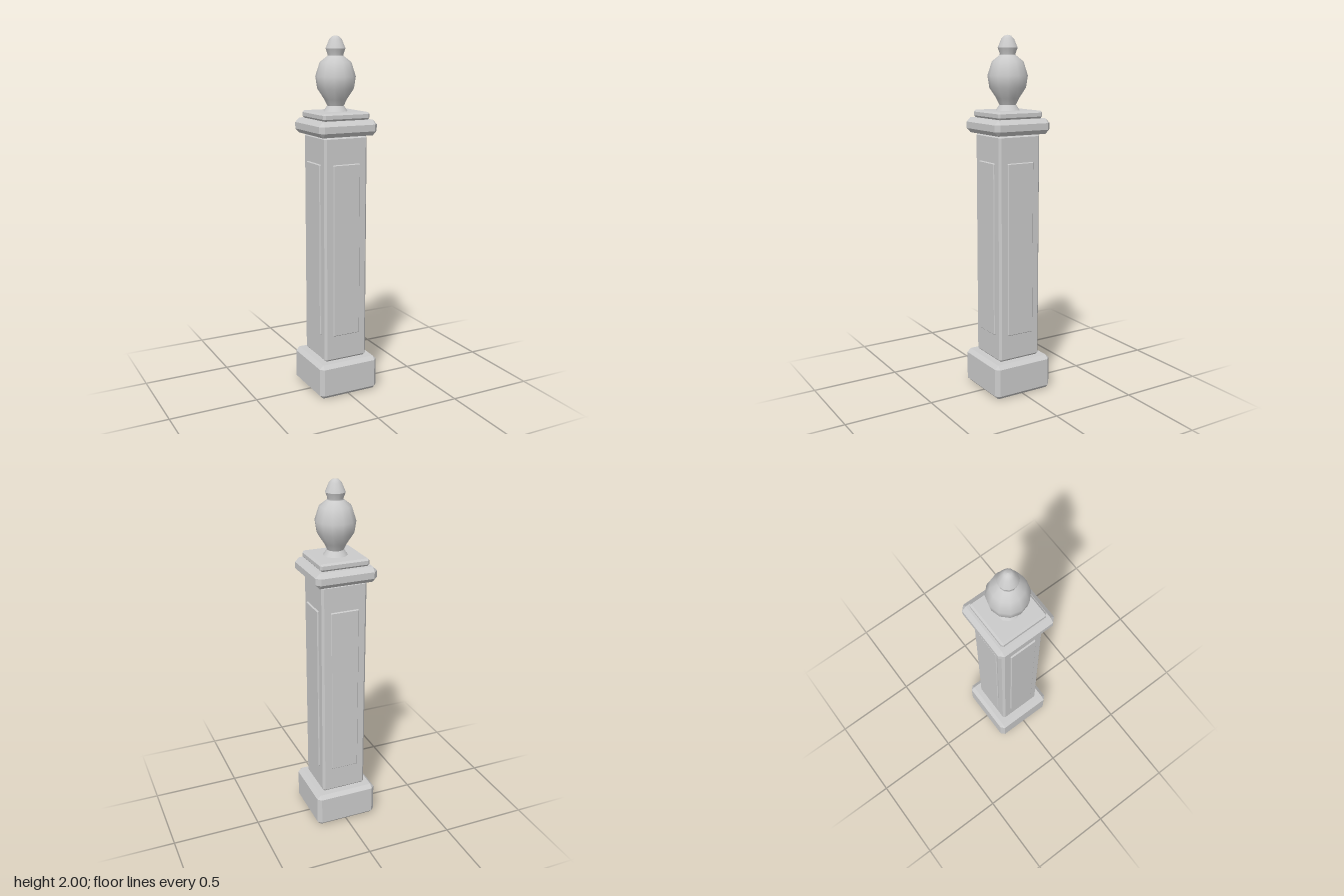
import * as THREE from 'three';
import { ConvexGeometry } from 'three/addons/geometries/ConvexGeometry.js';

const material = new THREE.MeshStandardMaterial({ color: 0xcccccc });
const lathed = new THREE.MeshStandardMaterial({ color: 0xcccccc, side: THREE.DoubleSide });

// Box with every edge and corner chamfered by b
function chamferedBox(name, hx, hz, y0, y1, b) {
  const hy = (y1 - y0) / 2;
  const points = [];
  for (const sx of [-1, 1]) for (const sy of [-1, 1]) for (const sz of [-1, 1]) {
    points.push(
      new THREE.Vector3(sx * hx, sy * (hy - b), sz * (hz - b)),
      new THREE.Vector3(sx * (hx - b), sy * hy, sz * (hz - b)),
      new THREE.Vector3(sx * (hx - b), sy * (hy - b), sz * hz)
    );
  }
  const mesh = new THREE.Mesh(new ConvexGeometry(points), material);
  mesh.name = name;
  mesh.position.y = (y0 + y1) / 2;
  return mesh;
}

// Twelve-sided turned section; separate sections keep creases sharp
function turned(name, profile) {
  const points = profile.map(([r, y]) => new THREE.Vector2(r, y));
  const mesh = new THREE.Mesh(new THREE.LatheGeometry(points, 12), lathed);
  mesh.name = name;
  return mesh;
}

export function createModel() {
  const post = new THREE.Group();
  post.name = 'post';

  // Square stack: plinth, shaft, moulded cap and finial slab
  post.add(
    chamferedBox('base', 0.18, 0.18, 0, 0.2, 0.021),
    chamferedBox('shaft', 0.13, 0.13, 0.2, 1.473, 0.012),
    chamferedBox('cap', 0.174, 0.174, 1.473, 1.557, 0.024),
    chamferedBox('capSlab', 0.139, 0.139, 1.557, 1.598, 0.01)
  );

  // Raised panel on each face of the shaft
  for (let i = 0; i < 4; i++) {
    const side = new THREE.Group();
    side.name = 'panel' + (i + 1);
    const panel = chamferedBox('panelBoard', 0.081, 0.01, 0.35, 1.322, 0.004);
    panel.position.z = 0.129;
    side.add(panel);
    side.rotation.y = i * Math.PI / 2;
    post.add(side);
  }

  // Turned finial
  const finial = new THREE.Group();
  finial.name = 'finial';
  finial.add(
    turned('finialFoot', [[0.067, 1.597], [0.046, 1.628]]),
    turned('finialUrn', [[0.046, 1.628], [0.062, 1.662], [0.1, 1.72], [0.11, 1.785], [0.086, 1.86], [0.044, 1.893]]),
    turned('finialNeck', [[0.044, 1.893], [0.042, 1.9], [0.054, 1.932]]),
    turned('finialTip', [[0.054, 1.932], [0.034, 1.98], [0.018, 1.996], [0, 2]])
  );
  post.add(finial);

  return post;
}
